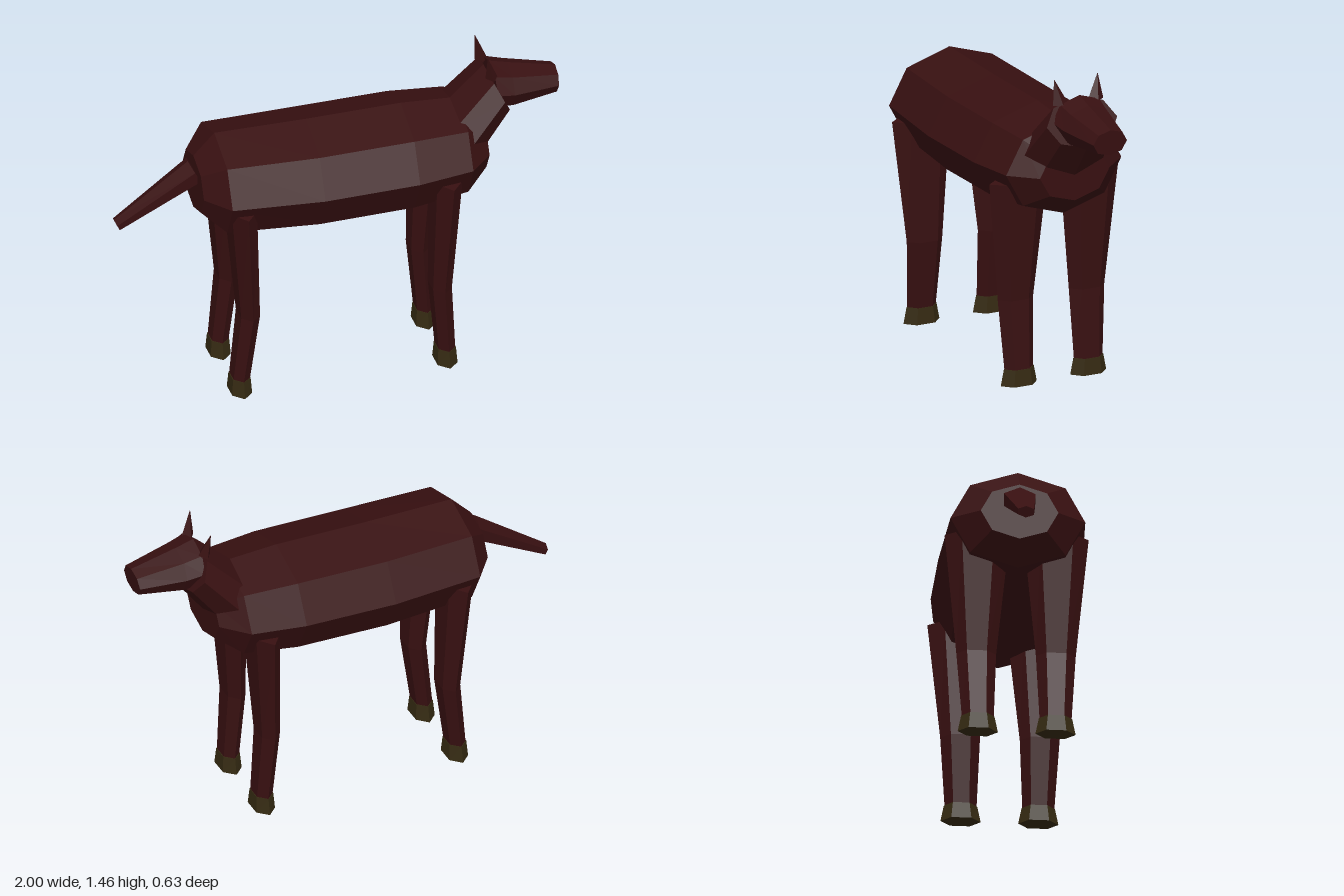
import * as THREE from 'three';

const coat = new THREE.MeshStandardMaterial({ color: 0x381011 });
coat.name = 'dark chestnut coat';
const horn = new THREE.MeshStandardMaterial({ color: 0x352a12 });
horn.name = 'dark hoof horn';

// Faceted loft through elliptical rings. Each ring is [centre, u, v];
// u x v points along the path from the first ring to the last.
function loft(name, material, sides, rings) {
  const pos = [], index = [];
  rings.forEach(([c, u, v]) => {
    for (let j = 0; j < sides; j++) {
      const a = (j / sides) * Math.PI * 2;
      for (let k = 0; k < 3; k++) pos.push(c[k] + u[k] * Math.cos(a) + v[k] * Math.sin(a));
    }
  });
  for (let i = 0; i < rings.length - 1; i++) {
    for (let j = 0; j < sides; j++) {
      const k = (j + 1) % sides, a = i * sides, b = a + sides;
      index.push(a + j, a + k, b + k, a + j, b + k, b + j);
    }
  }
  const last = (rings.length - 1) * sides;
  for (let j = 1; j < sides - 1; j++) {
    index.push(0, j + 1, j, last, last + j, last + j + 1);
  }
  const indexed = new THREE.BufferGeometry();
  indexed.setAttribute('position', new THREE.Float32BufferAttribute(pos, 3));
  indexed.setIndex(index);
  const geometry = indexed.toNonIndexed();
  geometry.computeVertexNormals();
  const mesh = new THREE.Mesh(geometry, material);
  mesh.name = name;
  return mesh;
}

// Ring in the lengthwise plane, from its bottom and top points and half width
const span = (bx, by, tx, ty, w) => [
  [(bx + tx) / 2, (by + ty) / 2, 0],
  [(tx - bx) / 2, (ty - by) / 2, 0],
  [0, 0, w],
];

// Level ring, for upright parts
const level = (x, y, z, rx, rz) => [[x, y, z], [0, 0, rz], [rx, 0, 0]];

function makeLeg(name, side, xs) {
  const leg = new THREE.Group();
  leg.name = name;
  const z = side * 0.17;
  leg.add(loft('limb', coat, 6, [
    level(xs[0], 0.07, z, 0.043, 0.07),
    level(xs[1], 0.39, z + side * 0.004, 0.049, 0.087),
    level(xs[2], 0.94, z + side * 0.003, 0.066, 0.142),
  ]));
  leg.add(loft('hoof', horn, 6, [
    level(xs[0], 0, z, 0.052, 0.088),
    level(xs[0], 0.075, z, 0.046, 0.073),
  ]));
  return leg;
}

export function createModel() {
  const model = new THREE.Group();
  model.name = 'hoofedAnimal';

  // Barrel
  model.add(loft('body', coat, 8, [
    span(-0.64, 0.86, -0.64, 1.12, 0.17),
    span(-0.545, 0.765, -0.545, 1.22, 0.295),
    span(-0.13, 0.745, -0.13, 1.222, 0.315),
    span(0.30, 0.757, 0.30, 1.232, 0.313),
    span(0.55, 0.79, 0.55, 1.22, 0.282),
    span(0.655, 0.88, 0.655, 1.13, 0.17),
  ]));

  // Neck and head
  model.add(loft('neck', coat, 8, [
    span(0.62, 0.95, 0.49, 1.19, 0.21),
    span(0.775, 1.16, 0.675, 1.365, 0.172),
  ]));
  model.add(loft('head', coat, 8, [
    span(0.71, 1.17, 0.70, 1.38, 0.135),
    span(0.785, 1.16, 0.785, 1.358, 0.122),
    span(0.99, 1.19, 1.0, 1.31, 0.082),
  ]));

  // Tail, from the tip up to the rump
  model.add(loft('tail', coat, 6, [
    span(-0.977, 0.805, -1.0, 0.85, 0.04),
    span(-0.61, 1.0, -0.665, 1.095, 0.08),
  ]));

  // Ears and legs, mirrored across the middle
  for (const side of [1, -1]) {
    const label = side > 0 ? 'Near' : 'Far';
    model.add(loft('ear' + label, coat, 4, [
      level(0.688, 1.345, side * 0.085, 0.028, 0.038),
      level(0.666, 1.455, side * 0.106, 0.001, 0.001),
    ]));
    model.add(makeLeg('frontLeg' + label, side, [0.452, 0.428, 0.454]));
    model.add(makeLeg('hindLeg' + label, side, [-0.479, -0.442, -0.477]));
  }
  return model;
}
